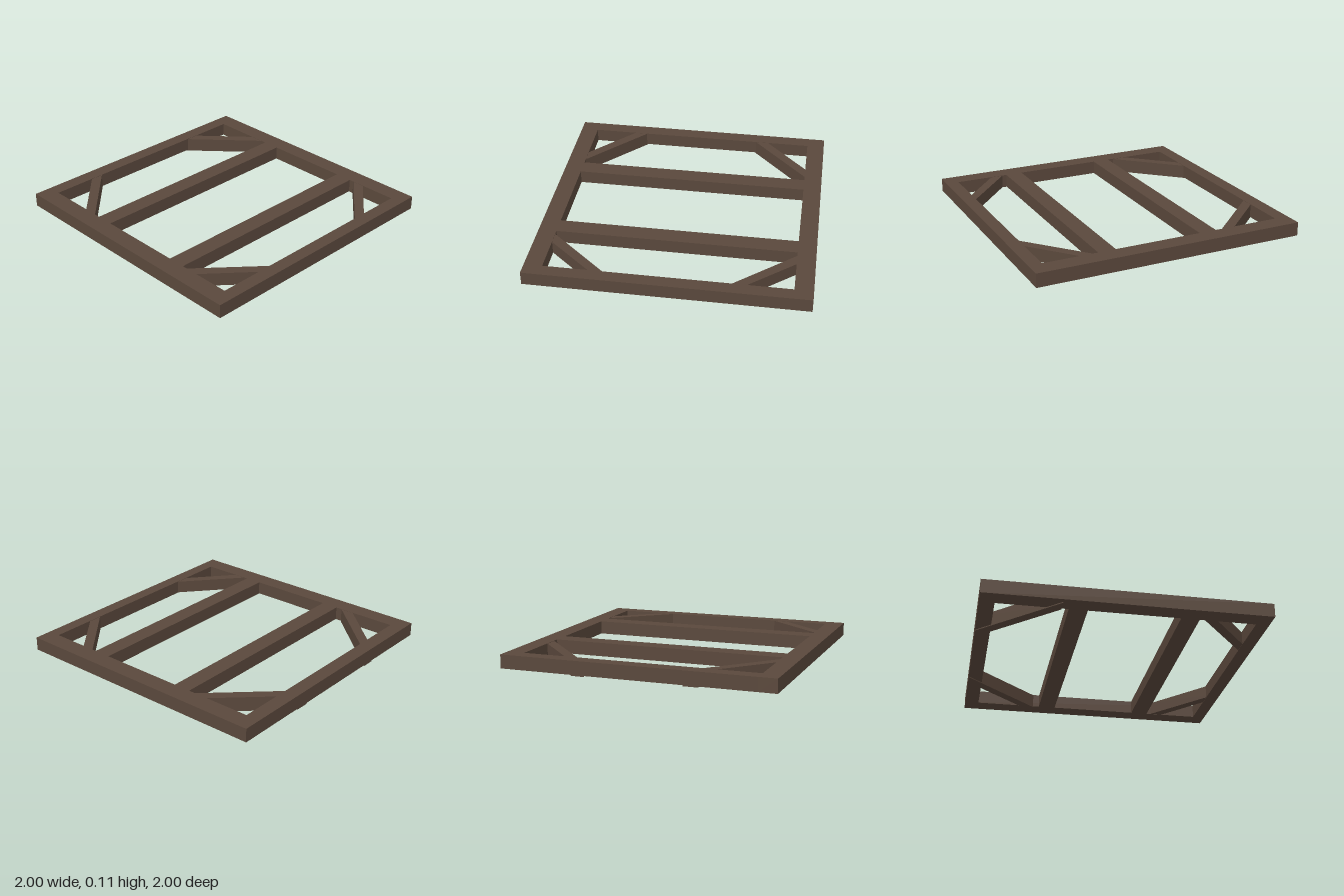
import * as THREE from 'three';

const BOTTOM = 0.007, TOP = 0.107;

export function createModel() {
  const model = new THREE.Group();
  model.name = 'timberFrame';
  const wood = new THREE.MeshStandardMaterial({ color: 0x5a483c });
  wood.name = 'darkWood';

  // Straight timber given by its plan extents
  function timber(name, x0, x1, z0, z1) {
    const mesh = new THREE.Mesh(new THREE.BoxGeometry(x1 - x0, TOP - BOTTOM, z1 - z0), wood);
    mesh.position.set((x0 + x1) / 2, (TOP + BOTTOM) / 2, (z0 + z1) / 2);
    mesh.name = name;
    model.add(mesh);
  }

  // Diagonal timber: plan outline extruded upward, ends buried in the rails
  function brace(name, outline, y0, y1) {
    const shape = new THREE.Shape(outline.map(([x, z]) => new THREE.Vector2(x, -z)));
    const geometry = new THREE.ExtrudeGeometry(shape, { depth: y1 - y0, bevelEnabled: false });
    geometry.rotateX(-Math.PI / 2);
    geometry.translate(0, y0, 0);
    const mesh = new THREE.Mesh(geometry, wood);
    mesh.name = name;
    model.add(mesh);
  }

  // Outer rails
  timber('frontRail', -1, 1, 0.868, 1);
  timber('backRail', -1, 1, -1, -0.868);
  timber('rightRail', -1, -0.895, -0.868, 0.868);
  timber('leftRail', 0.905, 1, -0.868, 0.868);

  // Inner beams
  timber('rightBeam', -0.4, -0.27, -0.868, 0.868);
  timber('leftBeam', 0.375, 0.505, -0.868, 0.868);

  // Corner braces; the right pair sits slightly lower than the frame
  for (const [end, s] of [['Front', 1], ['Back', -1]]) {
    brace('right' + end + 'Brace',
      [[-1, 0.355], [-0.448, 0.868], [-0.448, 0.965], [-1, 0.452]].map(([x, z]) => [x, s * z]),
      0, TOP - 0.002);
    brace('left' + end + 'Brace',
      [[0.99, 0.346], [0.54, 0.868], [0.54, 0.978], [0.99, 0.448]].map(([x, z]) => [x, s * z]),
      BOTTOM + 0.002, TOP - 0.002);
  }
  return model;
}
